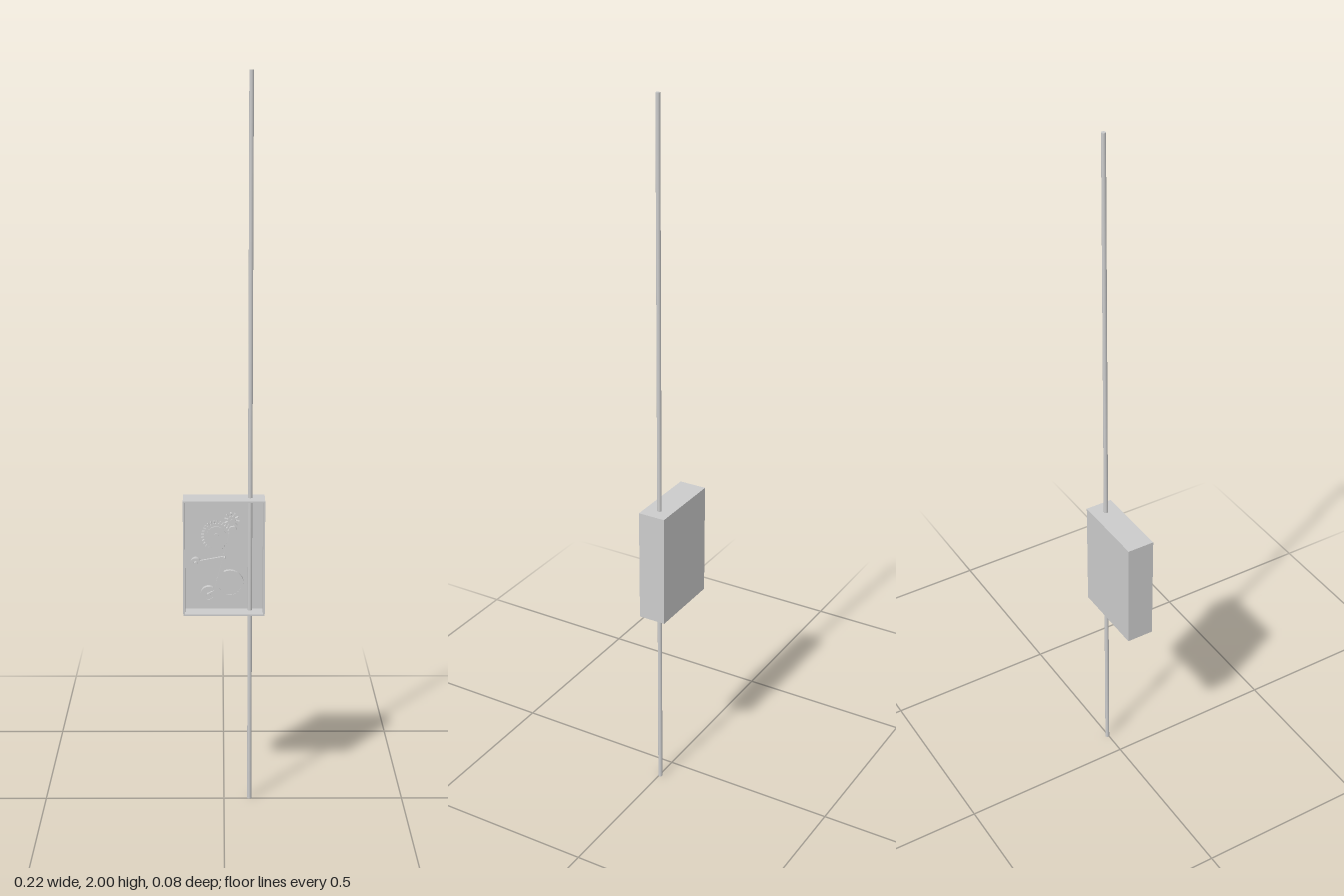
import * as THREE from 'three';

const material = new THREE.MeshStandardMaterial({ color: 0xcccccc });
const FLOOR = -0.014; // inner back face of the case

export function createModel() {
  const model = new THREE.Group();

  function add(parent, name, geometry, x = 0, y = 0, z = 0) {
    const mesh = new THREE.Mesh(geometry, material);
    mesh.name = name;
    mesh.position.set(x, y, z);
    parent.add(mesh);
    return mesh;
  }
  function group(name) {
    const g = new THREE.Group();
    g.name = name;
    model.add(g);
    return g;
  }
  const extrude = (shape, depth) =>
    new THREE.ExtrudeGeometry(shape, { depth, bevelEnabled: false, curveSegments: 16 });

  // Disc or pin lying along z between two depths
  function disc(parent, name, x, y, r, z0, z1) {
    const geometry = new THREE.CylinderGeometry(r, r, z1 - z0, 32).rotateX(Math.PI / 2);
    return add(parent, name, geometry, x, y, (z0 + z1) / 2);
  }

  // Flat ring facing the front
  function ring(parent, name, x, y, r, hole, z0, z1) {
    const shape = new THREE.Shape().absarc(0, 0, r, 0, Math.PI * 2);
    shape.holes.push(new THREE.Path().absarc(0, 0, hole, 0, Math.PI * 2, true));
    return add(parent, name, extrude(shape, z1 - z0), x, y, z0);
  }

  // Spur gear with trapezoid teeth
  function gear(parent, name, x, y, root, tip, teeth, z0, z1) {
    const points = [];
    for (let i = 0; i < teeth; i++) {
      [[0, root], [0.4, root], [0.55, tip], [0.85, tip]].forEach(([f, r]) => {
        const a = ((i + f) / teeth) * Math.PI * 2;
        points.push(new THREE.Vector2(r * Math.cos(a), r * Math.sin(a)));
      });
    }
    return add(parent, name, extrude(new THREE.Shape(points), z1 - z0), x, y, z0);
  }

  // Straight flat bar between two points
  function bar(parent, name, x0, y0, x1, y1, width, z0, z1) {
    const geometry = new THREE.BoxGeometry(Math.hypot(x1 - x0, y1 - y0), width, z1 - z0);
    const mesh = add(parent, name, geometry, (x0 + x1) / 2, (y0 + y1) / 2, (z0 + z1) / 2);
    mesh.rotation.z = Math.atan2(y1 - y0, x1 - x0);
    return mesh;
  }

  // Long vertical rod through the case
  add(model, 'rod', new THREE.CylinderGeometry(0.006, 0.006, 2, 24), 0.071, 1, -0.003);

  // Open-fronted case: back plate and a rim
  const housing = group('case');
  const W = 0.222, H = 0.322, CY = 0.709, T = 0.005, BACK = -0.041, FRONT = 0.037;
  add(housing, 'backPlate', new THREE.BoxGeometry(W, H, FLOOR - BACK), 0, CY, (FLOOR + BACK) / 2);
  const rim = new THREE.Shape([[-1, -1], [1, -1], [1, 1], [-1, 1]]
    .map(([x, y]) => new THREE.Vector2(x * W / 2, y * H / 2)));
  rim.holes.push(new THREE.Path([[-1, -1], [-1, 1], [1, 1], [1, -1]]
    .map(([x, y]) => new THREE.Vector2(x * (W / 2 - T), y * (H / 2 - T)))));
  add(housing, 'rim', extrude(rim, FRONT - FLOOR), 0, CY, FLOOR);

  // Upper gear train
  const train = group('gearTrain');
  disc(train, 'largeGearShaft', -0.021, 0.767, 0.008, FLOOR, 0.02);
  gear(train, 'largeGear', -0.021, 0.767, 0.034, 0.041, 28, 0, 0.012);
  disc(train, 'largeGearFace', -0.021, 0.767, 0.027, 0.01, 0.016);
  disc(train, 'pinionShaft', 0.021, 0.81, 0.004, FLOOR, 0.022);
  gear(train, 'pinion', 0.021, 0.81, 0.011, 0.021, 10, 0, 0.014);

  // Long slanted lever with rounded ends
  const lever = group('lever');
  bar(lever, 'leverBar', 0.024, 0.79, -0.022, 0.61, 0.012, 0.012, 0.022);
  disc(lever, 'leverTop', 0.024, 0.785, 0.011, 0.01, 0.024);
  bar(lever, 'leverFoot', -0.022, 0.612, -0.042, 0.603, 0.01, 0.012, 0.022);

  // Lower wheel and roller
  const wheels = group('lowerWheels');
  disc(wheels, 'wheel', 0.016, 0.632, 0.033, FLOOR, 0.012);
  ring(wheels, 'wheelRim', 0.016, 0.632, 0.038, 0.031, 0, 0.014);
  disc(wheels, 'roller', -0.042, 0.603, 0.015, FLOOR, 0.014);
  ring(wheels, 'rollerRim', -0.042, 0.603, 0.022, 0.014, 0, 0.016);
  disc(wheels, 'rollerPin', -0.042, 0.603, 0.005, 0.014, 0.026);

  // Cross arm on a pivot, with pins reaching just past the rim
  const arm = group('crossArm');
  bar(arm, 'armBar', -0.077, 0.695, 0.004, 0.71, 0.008, 0.018, 0.026);
  ring(arm, 'armEye', -0.077, 0.695, 0.014, 0.006, 0.012, 0.028);
  disc(arm, 'armPin', -0.077, 0.695, 0.005, FLOOR, 0.039);
  disc(arm, 'leverPin', 0.002, 0.71, 0.003, FLOOR, 0.039);

  return model;
}
